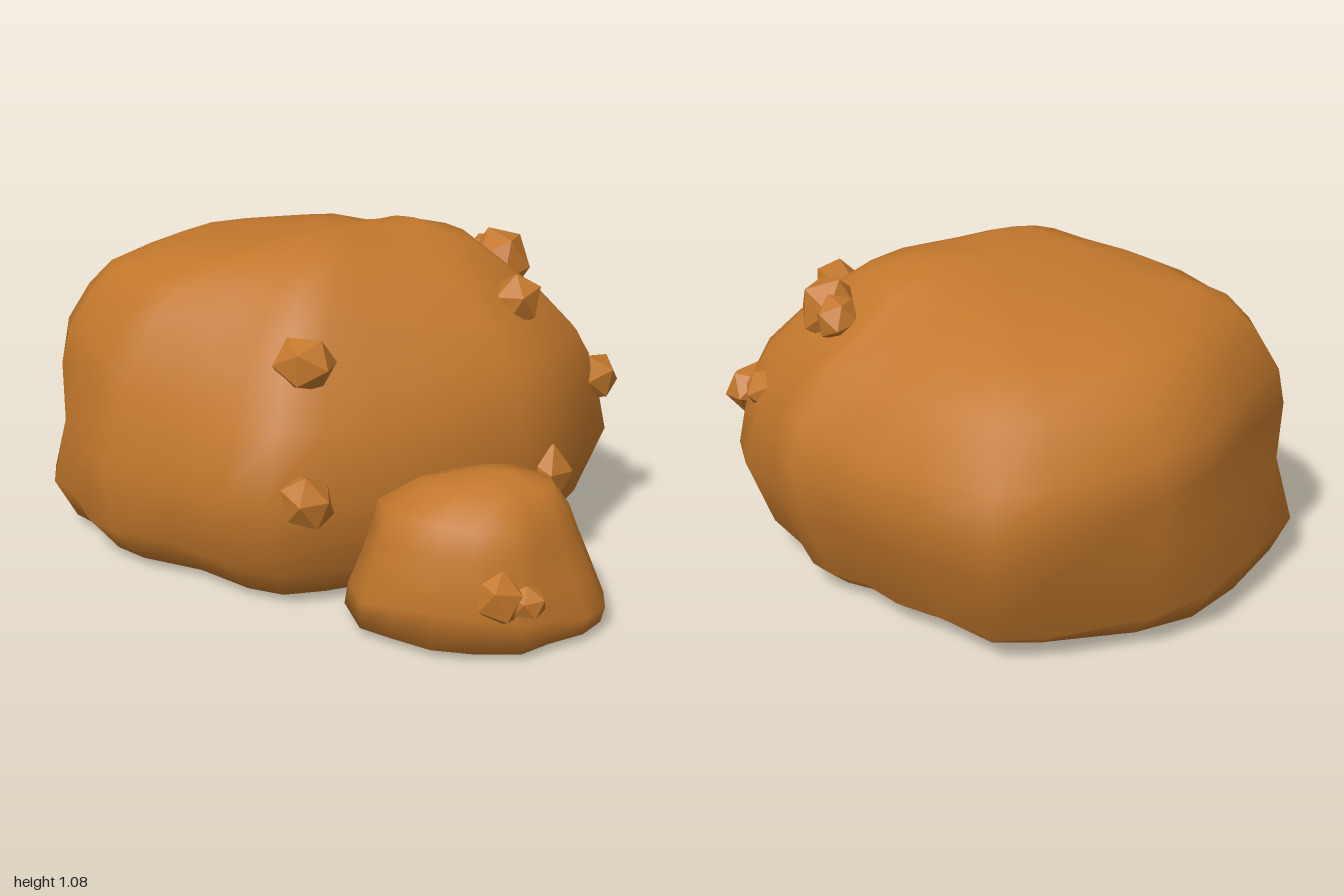
import * as THREE from 'three';
import { mergeVertices } from 'three/addons/utils/BufferGeometryUtils.js';

const material = new THREE.MeshStandardMaterial({ color: 0xc2772c });

// Plan outlines as [x, z], running left side, back, right side, front
const boulderOutline = [
  [-1, 0.2], [-0.94, -0.12], [-0.88, -0.36], [-0.76, -0.55], [-0.5, -0.81], [-0.34, -0.91],
  [-0.08, -0.84], [0.1, -0.81], [0.28, -0.72], [0.43, -0.7], [0.51, -0.66], [0.6, -0.55],
  [0.76, -0.43], [0.84, -0.3], [0.87, -0.2], [0.83, 0], [0.79, 0.17], [0.7, 0.29], [0.5, 0.48],
  [0.3, 0.65], [0.15, 0.76], [0, 0.84], [-0.15, 0.82], [-0.37, 0.7], [-0.6, 0.64],
  [-0.71, 0.57], [-0.85, 0.39], [-0.94, 0.33],
];
const smallOutline = [
  [0.2, 0.68], [0.26, 0.58], [0.4, 0.44], [0.58, 0.3], [0.73, 0.26], [0.82, 0.32], [0.92, 0.4],
  [0.98, 0.48], [1, 0.58], [0.96, 0.68], [0.87, 0.77], [0.8, 0.86], [0.66, 0.9], [0.53, 0.91],
  [0.4, 0.87], [0.29, 0.83],
];

// Rings from bottom to top: [scale, height] towards -x, +x, +z and -z
const boulderRings = [
  [[0, 0.005], [0, 0.005], [0, 0.005], [0, 0.005]],
  [[0.5, 0.01], [0.5, 0.01], [0.5, 0.01], [0.4, 0.01]],
  [[0.95, 0.04], [0.79, 0.03], [0.81, 0.03], [0.74, 0.03]],
  [[1, 0.17], [0.9, 0.13], [0.92, 0.14], [0.82, 0.08]],
  [[0.94, 0.4], [1, 0.36], [1, 0.39], [0.94, 0.33]],
  [[0.95, 0.6], [0.95, 0.6], [0.88, 0.6], [1, 0.49]],
  [[0.93, 0.72], [0.88, 0.72], [0.79, 0.73], [0.96, 0.64]],
  [[0.86, 0.85], [0.75, 0.83], [0.68, 0.86], [0.81, 0.82]],
  [[0.78, 0.93], [0.61, 0.93], [0.59, 0.94], [0.61, 0.9]],
  [[0.64, 0.98], [0.47, 1], [0.45, 1.02], [0.48, 0.98]],
  [[0.35, 1.02], [0.28, 1.04], [0.27, 1.04], [0.25, 1.03]],
  [[0, 1.04], [0, 1.04], [0, 1.04], [0, 1.04]],
];
const smallRings = [
  [[0, 0.02], [0, 0.02], [0, 0.02], [0, 0.02]],
  [[0.7, 0.025], [0.7, 0.025], [0.7, 0.025], [0.7, 0.025]],
  [[1, 0.03], [0.97, 0.03], [0.98, 0.03], [1, 0.03]],
  [[0.97, 0.1], [1, 0.08], [1, 0.15], [1, 0.12]],
  [[0.87, 0.2], [0.87, 0.2], [0.98, 0.22], [0.98, 0.25]],
  [[0.79, 0.3], [0.76, 0.3], [0.92, 0.32], [0.96, 0.34]],
  [[0.74, 0.38], [0.69, 0.38], [0.8, 0.4], [0.8, 0.4]],
  [[0.45, 0.46], [0.55, 0.465], [0.5, 0.47], [0.5, 0.45]],
  [[0.2, 0.48], [0.2, 0.49], [0.2, 0.49], [0.2, 0.48]],
  [[0, 0.49], [0, 0.49], [0, 0.49], [0, 0.49]],
];

// Skin a rock over rings whose scale and height blend between the four sides
function rock(name, outline, rings, cx, cz, shape) {
  const n = outline.length, pos = [], index = [];
  rings.forEach((ring, k) => {
    outline.forEach(([x, z]) => {
      const dx = x - cx, dz = z - cz, w = dx * dx / (dx * dx + dz * dz);
      const a = ring[dx < 0 ? 0 : 1], b = ring[dz > 0 ? 2 : 3];
      const s = a[0] * w + b[0] * (1 - w), y = a[1] * w + b[1] * (1 - w);
      const p = new THREE.Vector3(cx + dx * s, y, cz + dz * s);
      shape(p, 4 * w * (1 - w));
      pos.push(p.x, p.y, p.z);
    });
    if (k === rings.length - 1) return;
    for (let i = 0; i < n; i++) {
      const a = k * n + i, b = k * n + (i + 1) % n, c = a + n, d = b + n;
      if (k > 0) index.push(a, c, b);
      if (k < rings.length - 2) index.push(b, c, d);
    }
  });
  const geo = new THREE.BufferGeometry();
  geo.setAttribute('position', new THREE.Float32BufferAttribute(pos, 3));
  geo.setIndex(index);
  const smooth = mergeVertices(geo, 1e-4);
  smooth.computeVertexNormals();
  const mesh = new THREE.Mesh(smooth, material);
  mesh.name = name;
  return mesh;
}

const bump = (p, x, y, z, r) =>
  Math.exp(-((p.x - x) ** 2 + (p.y - y) ** 2 + (p.z - z) ** 2) / (r * r));

// Two summits with a saddle, full left corners, a dent on the right flank
function shapeBoulder(p, diagonal) {
  const dent = 0.1 * bump(p, 0.66, 0.66, -0.45, 0.15);
  const top = 0.05 * bump(p, -0.03, 1.05, 0.16, 0.2) + 0.05 * bump(p, 0.24, 1.03, -0.2, 0.17);
  const corner = p.x < 0 && p.y > 0.06 ? 0.045 * diagonal : 0;
  const wave = p.y > 0.1 ? 0.006 * Math.sin(7 * p.x + 5 * p.y) * Math.sin(6 * p.z + 8 * p.y) : 0;
  p.x *= 1 - dent + wave + corner;
  p.z *= 1 - dent + wave + corner * 0.7;
  p.y += top + wave;
}

// Slight unevenness over the top
function shapeSmall(p) {
  if (p.y > 0.1) p.y += 0.006 * Math.sin(15 * p.x - 3) * Math.sin(13 * p.z);
}

// Faceted nuggets: x, y, z, radius
const nuggets = [
  [0.05, 0.78, 0.6, 0.105], [0.11, 0.4, 0.77, 0.1],
  [0.47, 0.9, -0.28, 0.13], [0.41, 0.91, -0.36, 0.085],
  [0.59, 0.86, 0.02, 0.1], [0.82, 0.54, -0.22, 0.1],
  [0.71, 0.59, -0.31, 0.09], [0.73, 0.34, 0.18, 0.11],
  [0.72, 0.2, 0.84, 0.095], [0.8, 0.19, 0.83, 0.065],
];

export function createModel() {
  const model = new THREE.Group();
  model.name = 'oreRock';
  model.add(rock('boulder', boulderOutline, boulderRings, 0, 0, shapeBoulder));
  model.add(rock('smallRock', smallOutline, smallRings, 0.6, 0.58, shapeSmall));

  const nuggetMaterial = material.clone();
  nuggetMaterial.flatShading = true;
  nuggets.forEach(([x, y, z, r], i) => {
    const mesh = new THREE.Mesh(new THREE.IcosahedronGeometry(r, 0), nuggetMaterial);
    mesh.name = 'nugget' + (i + 1);
    mesh.position.set(x, y, z);
    mesh.rotation.set(i * 1.3, i * 2.1, i * 0.7);
    mesh.scale.set(1, 0.9, 0.85);
    model.add(mesh);
  });
  return model;
}
